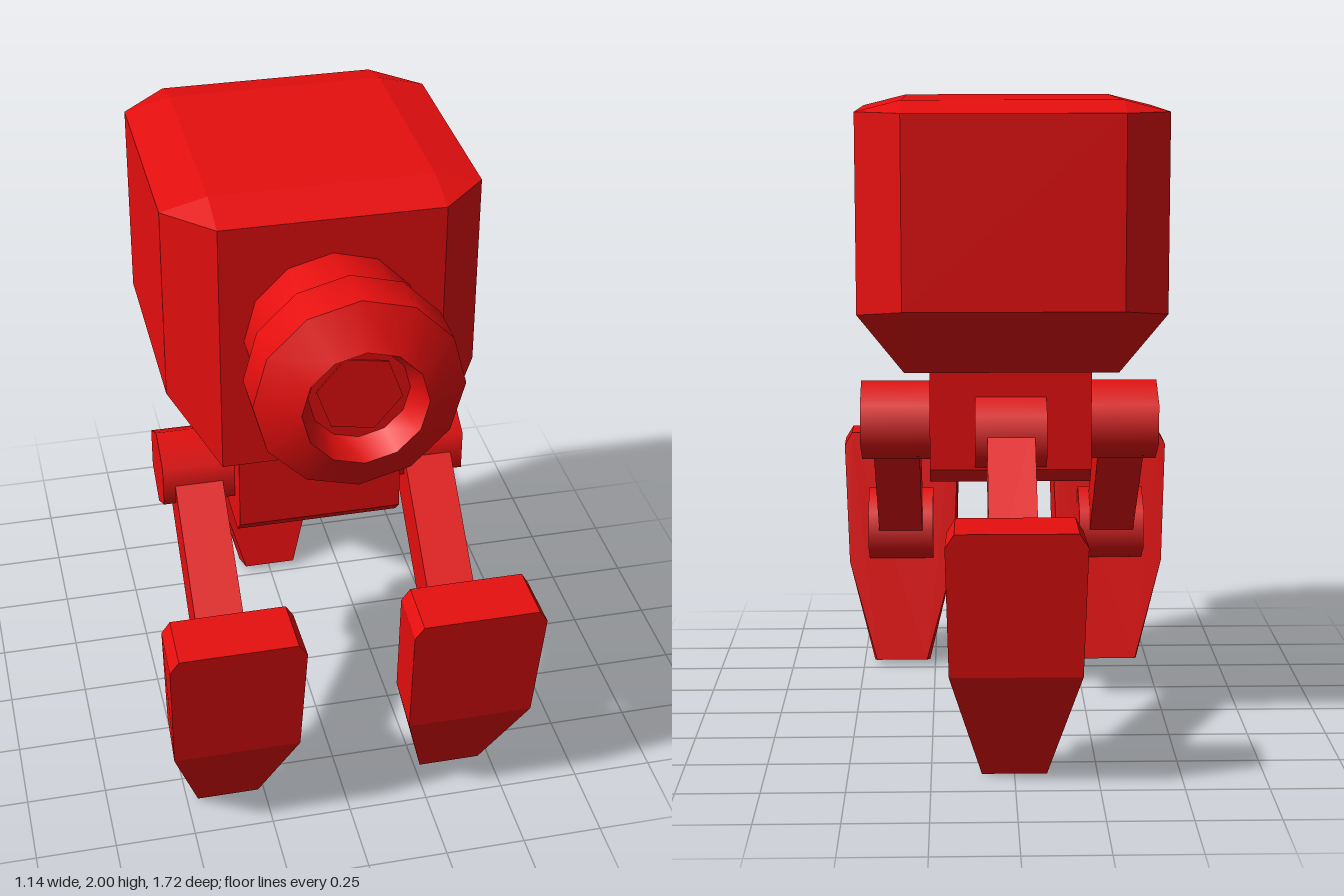
import * as THREE from 'three';
import { toCreasedNormals } from 'three/addons/utils/BufferGeometryUtils.js';
import { ConvexGeometry } from 'three/addons/geometries/ConvexGeometry.js';

const red = new THREE.MeshStandardMaterial({ color: 0xe60e0e });

function add(parent, name, geometry, x = 0, y = 0, z = 0) {
  const mesh = new THREE.Mesh(geometry, red);
  mesh.name = name;
  mesh.position.set(x, y, z);
  parent.add(mesh);
  return mesh;
}

// Convex solid from one half's corners [x, y, z], mirrored across x = 0
function mirroredHull(corners) {
  const points = [];
  for (const [x, y, z] of corners) {
    points.push(new THREE.Vector3(x, y, z), new THREE.Vector3(-x, y, z));
  }
  return new ConvexGeometry(points);
}

// Six-sided joint lying across the model, a corner pointing up
const jointGeometry = new THREE.CylinderGeometry(0.13, 0.13, 0.225, 6)
  .rotateY(Math.PI / 2)
  .rotateZ(Math.PI / 2);

// Tapered foot plate, narrowing to a toe at the ground
const footGeometry = mirroredHull([
  [0.178, 0.8, 0.86], [0.175, 0.807, 0.68],
  [0.205, 0.757, 0.854], [0.2, 0.763, 0.672],
  [0.195, 0.36, 0.795], [0.183, 0.36, 0.592],
  [0.098, 0, 0.6], [0.088, 0.02, 0.525],
]);

// Leg reaching towards +z: hip joint, strut, knee joint and foot
function createLeg(name, x, turn) {
  const leg = new THREE.Group();
  leg.name = name;
  const hip = { y: 0.957, z: 0.1 };
  const knee = { y: 0.493, z: 0.61 };
  const drop = hip.y - knee.y;
  const reach = knee.z - hip.z;
  add(leg, 'hipJoint', jointGeometry, 0, hip.y, hip.z);
  add(leg, 'kneeJoint', jointGeometry, 0, knee.y, knee.z);
  const strut = add(leg, 'strut', new THREE.BoxGeometry(0.15, 0.15, Math.hypot(drop, reach)),
    0, (hip.y + knee.y) / 2, (hip.z + knee.z) / 2);
  strut.rotation.x = Math.atan2(drop, reach);
  add(leg, 'foot', footGeometry);
  leg.position.x = x;
  leg.rotation.y = turn;
  return leg;
}

export function createModel() {
  const model = new THREE.Group();
  model.name = 'walkingRobot';

  // Head: chamfered block with a bevelled roof and cut-away underside
  add(model, 'head', mirroredHull([
    [0.33, 2, 0.3], [0.33, 2, -0.36],
    [0.33, 1.965, 0.44], [0.47, 1.965, 0.3], [0.47, 1.965, -0.36], [0.33, 1.965, -0.5],
    [0.33, 1.17, 0.44], [0.47, 1.36, 0.3], [0.47, 1.36, -0.36], [0.33, 1.385, -0.5],
    [0.33, 1.17, -0.275],
  ]));

  // Eye: stepped barrel with a recessed six-sided lens
  const eye = new THREE.Group();
  eye.name = 'eye';
  eye.position.y = 1.597;
  const profile = [
    [0.26, 0.42], [0.26, 0.595], [0.302, 0.64], [0.302, 0.78],
    [0.18, 0.85], [0.145, 0.77], [0.09, 0.77],
  ].map(([r, z]) => new THREE.Vector2(r, z));
  const barrel = new THREE.LatheGeometry(profile, 12).rotateX(Math.PI / 2);
  add(eye, 'eyeBarrel', toCreasedNormals(barrel, 0.6));
  const lens = add(eye, 'eyeLens',
    new THREE.CylinderGeometry(0.125, 0.125, 0.17, 6).rotateX(Math.PI / 2), 0, 0, 0.69);
  lens.rotation.z = 0.35;
  model.add(eye);

  // Hip block with chamfered lower edges front and back
  add(model, 'hipBlock', mirroredHull([
    [0.255, 1.18, 0.295], [0.255, 1.18, -0.13],
    [0.255, 0.837, 0.295], [0.255, 0.837, -0.13],
    [0.255, 0.79, 0.25], [0.255, 0.79, -0.085],
  ]));

  // Two front legs and one back leg
  model.add(createLeg('frontLeftLeg', 0.367, 0));
  model.add(createLeg('frontRightLeg', -0.367, 0));
  model.add(createLeg('backLeg', 0, Math.PI));

  return model;
}
